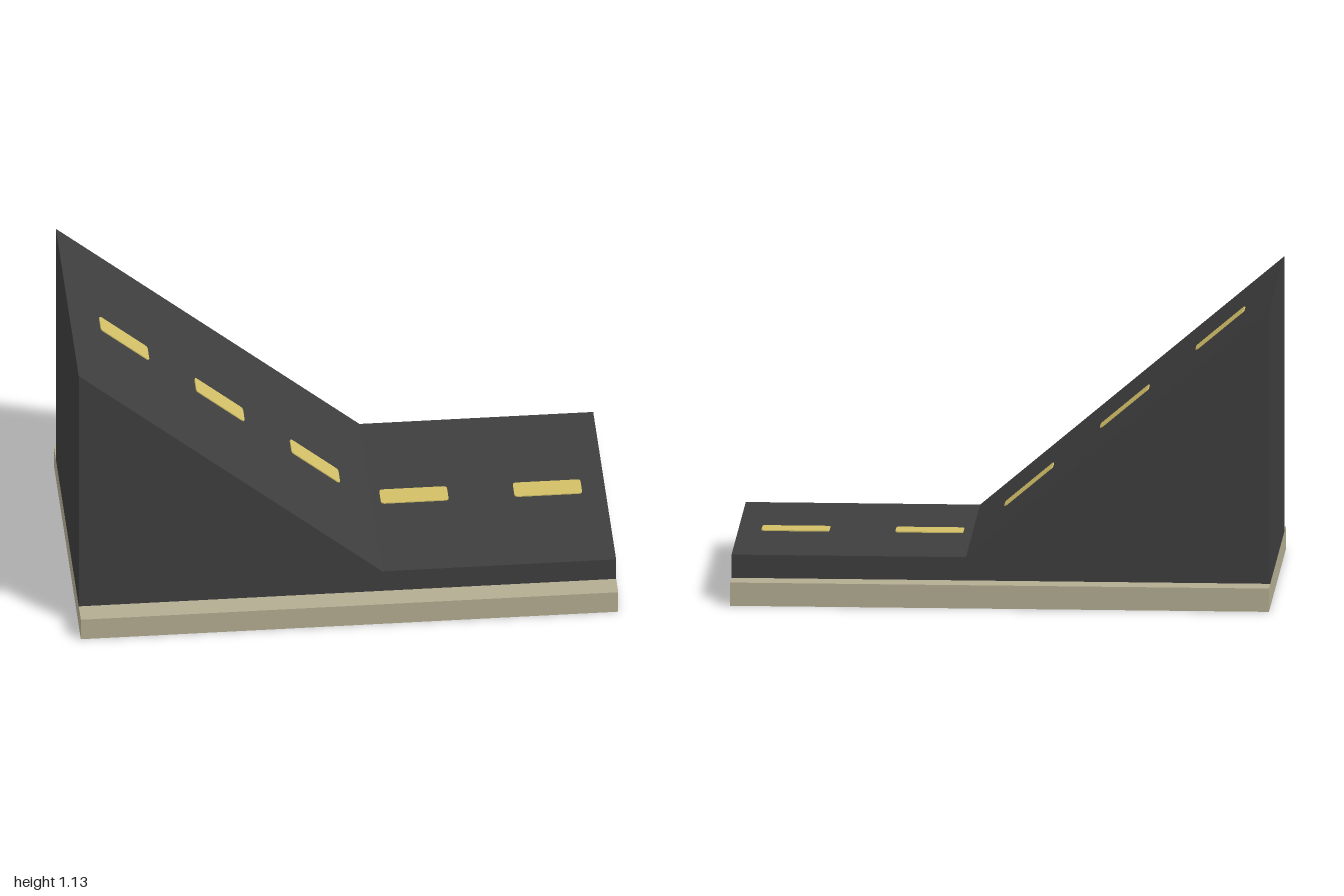
import * as THREE from 'three';

const material = (name, color) => Object.assign(new THREE.MeshStandardMaterial({ color }), { name });

export function createModel() {
  const stone = material('sandy stone', 0xb3ac91);
  const asphalt = material('dark asphalt', 0x3e3e3e);
  const paint = material('yellow paint', 0xd2bf67);

  const model = new THREE.Group();
  model.name = 'roadRamp';
  const add = (name, geometry, mat) => {
    const mesh = new THREE.Mesh(geometry, mat);
    mesh.name = name;
    model.add(mesh);
    return mesh;
  };

  const baseTop = 0.088, roadTop = 0.176, peak = 1.13, foot = 0.13, halfRoad = 0.478;

  // Base slab
  add('base', new THREE.BoxGeometry(2, baseTop, 1.13).translate(0, baseTop / 2, 0), stone);

  // Ramp and flat road as one side profile
  const profile = new THREE.Shape([
    [-1, baseTop], [1, baseTop], [1, roadTop], [foot, roadTop], [-1, peak],
  ].map(([x, y]) => new THREE.Vector2(x, y)));
  add('road', new THREE.ExtrudeGeometry(profile, { depth: 2 * halfRoad, bevelEnabled: false })
    .translate(0, 0, -halfRoad), asphalt);

  // Lane dashes: thin plates with rounded corners, lying in the xz plane
  const dashGeometry = (length) => {
    const a = length / 2, b = 0.044, r = 0.014;
    const s = new THREE.Shape();
    s.moveTo(-a + r, -b);
    s.lineTo(a - r, -b).quadraticCurveTo(a, -b, a, -b + r);
    s.lineTo(a, b - r).quadraticCurveTo(a, b, a - r, b);
    s.lineTo(-a + r, b).quadraticCurveTo(-a, b, -a, b - r);
    s.lineTo(-a, -b + r).quadraticCurveTo(-a, -b, -a + r, -b);
    return new THREE.ExtrudeGeometry(s, { depth: 0.004, bevelEnabled: false, curveSegments: 4 })
      .rotateX(-Math.PI / 2);
  };

  const flatDash = dashGeometry(0.252);
  for (const x of [0.29, 0.787]) add('flatDash', flatDash, paint).position.set(x, roadTop, 0);

  const slope = (peak - roadTop) / (foot + 1);
  const rampDash = dashGeometry(0.235);
  for (const x of [-0.79, -0.435, -0.08]) {
    const dash = add('rampDash', rampDash, paint);
    dash.position.set(x, roadTop + (foot - x) * slope, 0);
    dash.rotation.z = -Math.atan(slope);
  }

  return model;
}
